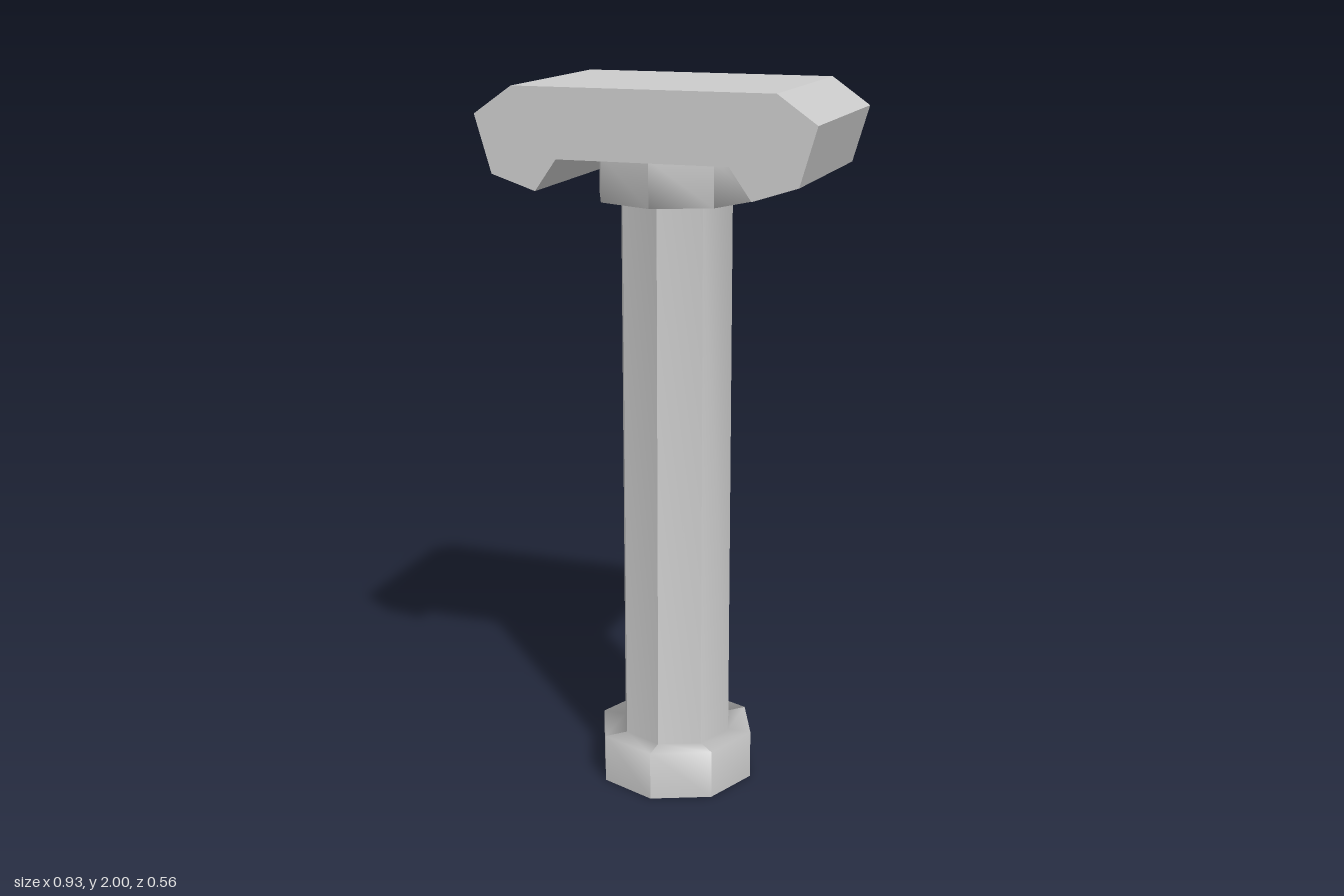
import * as THREE from 'three';
import { mergeGeometries } from 'three/addons/utils/BufferGeometryUtils.js';

const material = new THREE.MeshStandardMaterial({ color: 0xcccccc });

function addPart(group, name, geometry) {
  const mesh = new THREE.Mesh(geometry, material);
  mesh.name = name;
  group.add(mesh);
  return mesh;
}

// Octagonal shaft with a stepped foot and collar, softly shaded along each
// panel; the panels are creased except at the two side corners.
function shaftGeometry() {
  const profile = [
    [0.228, 0], [0.228, 0.14], [0.16, 0.14],
    [0.16, 1.69], [0.223, 1.69], [0.223, 1.815],
  ].map(([r, y]) => new THREE.Vector2(r, y));
  const step = Math.PI / 4;
  const panels = [[0, 1], [1, 2], [3, 1], [4, 1], [5, 2], [7, 1]];
  return mergeGeometries(panels.map(([start, count]) => {
    const panel = new THREE.LatheGeometry(profile, count, start * step, count * step);
    panel.computeVertexNormals();
    return panel;
  }));
}

// Bracket-shaped head, mirrored about x = 0 and extruded along z
function headGeometry() {
  const half = [[0.235, 1.815], [0.295, 1.73], [0.418, 1.77], [0.464, 1.925], [0.357, 2]];
  const outline = [...half, ...half.map(([x, y]) => [-x, y]).reverse()];
  const shape = new THREE.Shape(outline.map(([x, y]) => new THREE.Vector2(x, y)));
  const geometry = new THREE.ExtrudeGeometry(shape, { depth: 0.555, bevelEnabled: false });
  return geometry.translate(0, 0, -0.2775);
}

export function createModel() {
  const model = new THREE.Group();
  model.name = 'post';

  addPart(model, 'shaft', shaftGeometry());

  // Flat underside of the foot
  addPart(model, 'footUnderside', new THREE.CircleGeometry(0.228, 8).rotateX(Math.PI / 2));

  addPart(model, 'head', headGeometry());
  return model;
}
